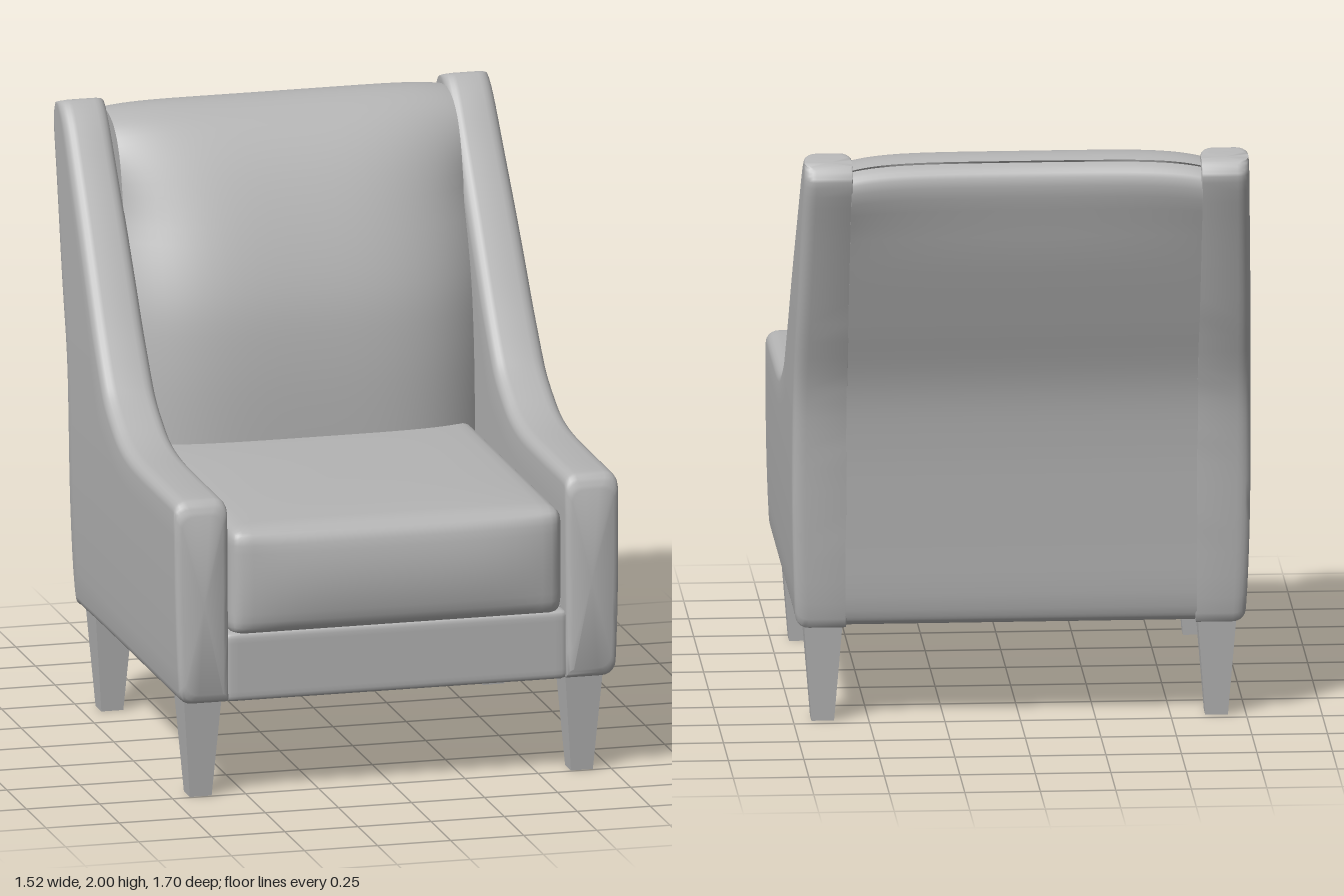
import * as THREE from 'three';
import { mergeVertices, toCreasedNormals } from 'three/addons/utils/BufferGeometryUtils.js';

const grey = new THREE.MeshStandardMaterial({ color: 0xb4b4b4 });
grey.name = 'grey upholstery';

// Skin a list of equal rings, cap both ends and face the triangles outward.
function loft(rings) {
  const n = rings[0].length, pts = rings.flat(), index = [];
  for (let i = 0; i < rings.length - 1; i++) {
    for (let j = 0; j < n; j++) {
      const k = (j + 1) % n, a = i * n + j, b = i * n + k;
      index.push(a, b, a + n, b, b + n, a + n);
    }
  }
  [0, rings.length - 1].forEach((r, end) => {
    const mid = new THREE.Vector3();
    rings[r].forEach((p) => mid.addScaledVector(p, 1 / n));
    const c = pts.push(mid) - 1;
    for (let j = 0; j < n; j++) {
      const a = r * n + j, b = r * n + (j + 1) % n;
      index.push(...(end ? [c, a, b] : [c, b, a]));
    }
  });
  let volume = 0;
  const v = new THREE.Vector3();
  for (let i = 0; i < index.length; i += 3) {
    volume += v.crossVectors(pts[index[i]], pts[index[i + 1]]).dot(pts[index[i + 2]]);
  }
  if (volume < 0) index.reverse();
  const geo = new THREE.BufferGeometry().setFromPoints(pts);
  geo.setIndex(index);
  return toCreasedNormals(geo, 0.9);
}

// Box with rounded edges, dense enough near the edges to be padded out.
function pillow(w, h, d, r, pad = 0) {
  let geo = new THREE.BoxGeometry(2, 2, 2, 24, 16, 24);
  const pos = geo.attributes.position, p = new THREE.Vector3();
  const half = new THREE.Vector3(w / 2, h / 2, d / 2);
  const inner = half.clone().subScalar(r);
  for (let i = 0; i < pos.count; i++) {
    p.fromBufferAttribute(pos, i);
    const u = ['x', 'y', 'z'].map((k) => Math.sin(p[k] * Math.PI / 2));
    p.set(u[0], u[1], u[2]).multiply(half);
    const q = p.clone().clamp(inner.clone().negate(), inner);
    p.sub(q).setLength(r).add(q);
    const x4 = 1 - u[0] ** 4;
    if (p.z > 0) p.z += pad * x4 * (1 - u[1] ** 2) * u[2] ** 4;
    if (p.y > 0) p.y += pad * 0.5 * x4 * (1 - u[2] ** 4) * u[1] ** 4;
    pos.setXYZ(i, p.x, p.y, p.z);
  }
  geo.deleteAttribute('normal');
  geo.deleteAttribute('uv');
  geo = mergeVertices(geo);
  geo.computeVertexNormals();
  return geo;
}

const curve = (list, closed = false) => new THREE.CatmullRomCurve3(
  list.map(([z, y]) => new THREE.Vector3(0, y, z)), closed, closed ? 'centripetal' : 'catmullrom', 0.5);

// Side panel: upper edge [z, y] paired with lower and rear edge [z, y].
const upper = [[0.825, 0.98], [0.80, 1.02], [0.75, 1.03], [0.5, 1.03], [0.25, 1.035], [0.1, 1.06],
  [0, 1.105], [-0.08, 1.155], [-0.13, 1.205], [-0.19, 1.28], [-0.25, 1.36], [-0.34, 1.49],
  [-0.45, 1.645], [-0.57, 1.805], [-0.67, 1.935], [-0.74, 1.995], [-0.78, 1.99]];
const lower = [[0.835, 0.37], [0.815, 0.34], [0.75, 0.335], [0.5, 0.335], [0.2, 0.335], [-0.05, 0.335],
  [-0.28, 0.335], [-0.48, 0.335], [-0.525, 0.36], [-0.55, 0.65], [-0.57, 0.95], [-0.6, 1.16],
  [-0.68, 1.4], [-0.785, 1.72], [-0.845, 1.9], [-0.84, 1.945], [-0.82, 1.97]];

function sidePanel(side) {
  const top = curve(upper), low = curve(lower), rings = [], steps = (upper.length - 1) * 4;
  for (let i = 0; i <= steps; i++) {
    const T = top.getPoint(i / steps), B = low.getPoint(i / steps), L = T.distanceTo(B);
    const inset = 0.02 * Math.max(0, 1 - i / 4) ** 2;
    const x0 = 0.578 + inset, x1 = 0.735 - inset;
    const R = Math.min(0.04, L / 2), ring = [];
    const add = (x, s) => {
      const p = B.clone().lerp(T, s / L);
      const bulge = 0.024 * Math.sin(Math.PI * THREE.MathUtils.clamp((p.y - 0.25) / 1.75, 0, 1) ** 0.7);
      p.x = side * (x + bulge * THREE.MathUtils.smoothstep(x, 0.6, 0.735));
      ring.push(p);
    };
    // Corners: outer low, outer top, inner top, inner low (kept tight against the back).
    [[x1, 0, -1, 1, R], [x1, L, -1, -1, R], [x0, L, 1, -1, R], [x0, 0, 1, 1, 0.004]]
      .forEach(([x, s, dx, ds, r], c) => {
        for (let j = 0; j <= 5; j++) {
          const a = (c % 2 ? 5 - j : j) * Math.PI / 10;
          const kx = c === 0 || c === 1 ? Math.sin(a) : Math.sin(a);
          add(x + dx * r * (1 - kx), s + ds * r * (1 - Math.cos(a)));
        }
        if (c % 2 === 0) {
          for (let j = 1; j < 8; j++) {
            const f = j / 8, from = c ? L - R : R, to = c ? 0.004 : L - R;
            add(x, from + (to - from) * f);
          }
        }
      });
    rings.push(ring);
  }
  return loft(rings);
}

// Back: side profile swept across the width, crowned at the front and slightly hollow behind.
function backRest() {
  const front = [[-0.42, 0.345], [-0.25, 0.5], [-0.23, 0.75], [-0.23, 0.95], [-0.245, 1.2], [-0.28, 1.4],
    [-0.38, 1.65], [-0.5, 1.85], [-0.6, 1.95], [-0.7, 1.982], [-0.79, 1.968]];
  const rear = [[-0.838, 1.92], [-0.785, 1.72], [-0.68, 1.4], [-0.6, 1.16], [-0.57, 0.95],
    [-0.55, 0.65], [-0.527, 0.37], [-0.505, 0.338]];
  const profile = curve([...front, ...rear], true).getPoints(90).slice(0, -1);
  const rings = [];
  for (let i = 0; i <= 32; i++) {
    const u = Math.sin((i / 16 - 1) * Math.PI / 2);
    rings.push(profile.map((p) => {
      const high = THREE.MathUtils.smoothstep(p.y, 1.6, 1.98);
      const isFront = p.z > -0.3 - 0.5 * Math.max(0, (p.y - 1.1) / 0.88);
      const shift = isFront ? -0.12 * (1 - 0.8 * high) * Math.abs(u) ** 4 : 0.02 * high * (1 - u * u);
      const drop = 0.02 * high * u ** 6;
      return new THREE.Vector3(0.582 * u, p.y - drop, p.z + (p.y < 0.45 ? 0 : shift));
    }));
  }
  return loft(rings);
}

export function createModel() {
  const model = new THREE.Group();
  model.name = 'armchair';
  const add = (name, geo, x = 0, y = 0, z = 0) => {
    const mesh = new THREE.Mesh(geo, grey);
    mesh.name = name;
    mesh.position.set(x, y, z);
    model.add(mesh);
  };

  add('leftSidePanel', sidePanel(1));
  add('rightSidePanel', sidePanel(-1));
  add('backRest', backRest());

  // Seat
  add('seatCushion', pillow(1.14, 0.37, 1.2, 0.05, 0.035), 0, 0.735, 0.22);
  add('seatBase', new THREE.BoxGeometry(1.17, 0.2, 1.2), 0, 0.47, 0.15);
  add('frontRail', pillow(1.17, 0.235, 0.1, 0.02), 0, 0.45, 0.762);

  // Tapered square legs
  const leg = new THREE.CylinderGeometry(0.092, 0.053, 0.35, 4, 1).rotateY(Math.PI / 4).toNonIndexed();
  leg.computeVertexNormals();
  for (const side of [1, -1]) {
    const label = side > 0 ? 'Left' : 'Right';
    add('front' + label + 'Leg', leg, side * 0.652, 0.175, 0.705);
    add('back' + label + 'Leg', leg, side * 0.652, 0.175, -0.422);
  }
  return model;
}
